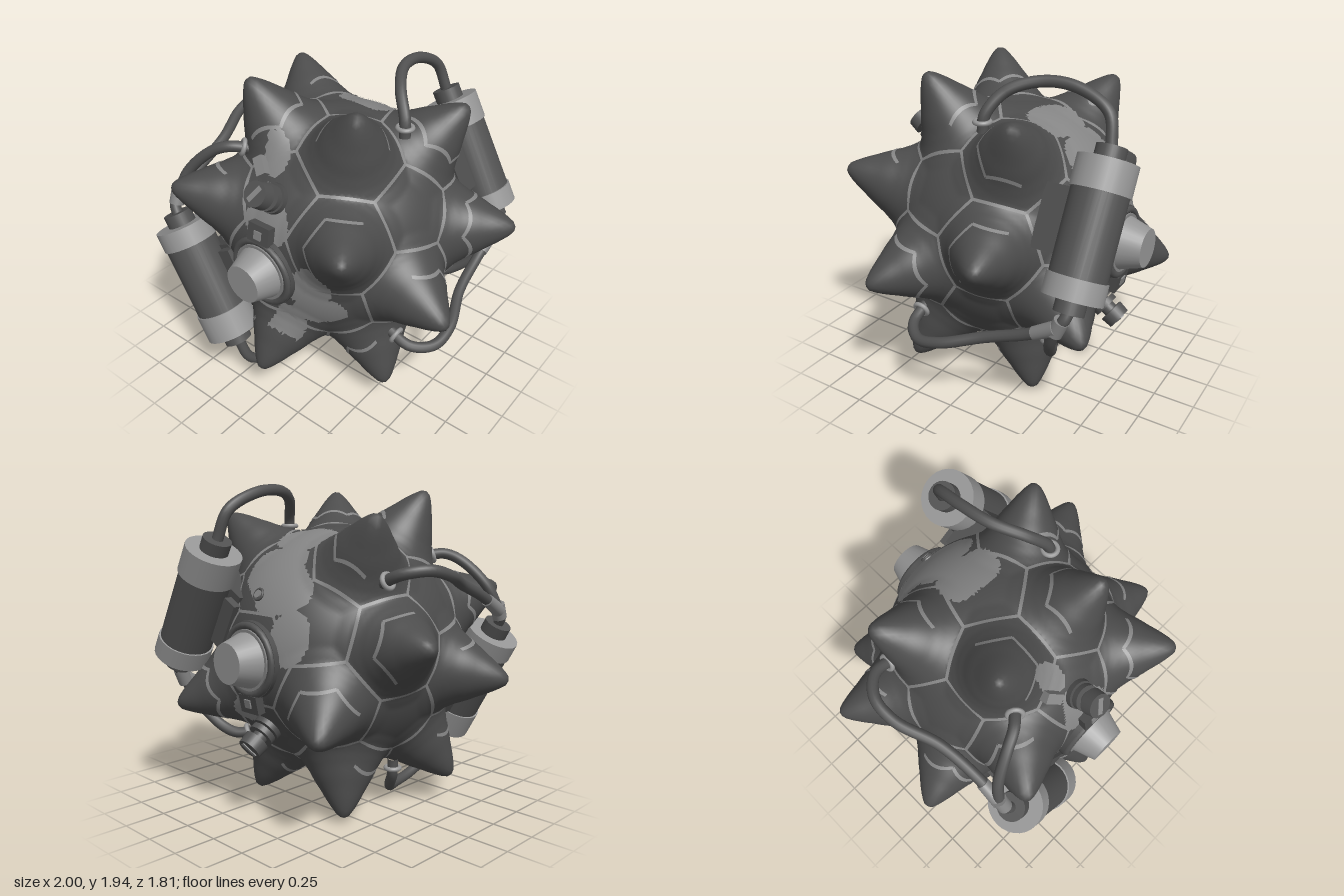
import * as THREE from 'three';
import { mergeVertices } from 'three/addons/utils/BufferGeometryUtils.js';

const V = (x, y, z) => new THREE.Vector3(x, y, z);
const CY = 0.97; // height of the ball centre; all points below are relative to it
const UP = V(0, 1, 0);

function mat(name, color, side = THREE.FrontSide) {
  const m = new THREE.MeshStandardMaterial({ color, side });
  m.name = name;
  return m;
}

export function createModel() {
  const root = new THREE.Group();
  root.name = 'spikedBall';
  const body = new THREE.Group();
  body.name = 'body';
  body.position.y = CY;
  root.add(body);

  const dark = mat('darkShell', 0x4c4c4c);
  const light = mat('wornMetal', 0x858585, THREE.DoubleSide);
  const hoseMat = mat('hoseRubber', 0x515151);
  const pale = mat('paleMetal', 0x959595);

  const add = (name, geo, m, parent = body) => {
    const mesh = new THREE.Mesh(geo, m);
    mesh.name = name;
    parent.add(mesh);
    return mesh;
  };

  // Icosahedral layout, tipped so a threefold axis faces the front
  const PHI = (1 + Math.sqrt(5)) / 2;
  const ico = [];
  for (const a of [-1, 1]) for (const b of [-PHI, PHI])
    ico.push(V(0, b, a), V(a, 0, b), V(b, a, 0));
  ico.forEach(v => v.normalize().applyAxisAngle(V(1, 0, 0), Math.atan(1 / (PHI * PHI))));
  const near = (a, b) => a !== b && a.dot(b) > 0.4;
  const triples = [];
  for (let i = 0; i < 12; i++) for (let j = i + 1; j < 12; j++) for (let k = j + 1; k < 12; k++)
    if (near(ico[i], ico[j]) && near(ico[j], ico[k]) && near(ico[i], ico[k]))
      triples.push([ico[i], ico[j], ico[k]]);
  const centreOf = t => t[0].clone().add(t[1]).add(t[2]).normalize();
  const bare = [V(0, 0, 1), V(0, 0, -1), V(0, 0.667, -0.745)]; // spots without a spike
  const spiked = triples.filter(t => !bare.some(b => b.dot(centreOf(t)) > 0.99));
  const spikes = spiked.map(centreOf);

  // Ball radius by the angle in degrees to the closest spike
  const profile = [[0, 1.068], [1.5, 1.06], [2.8, 1.035], [8, 0.92], [14, 0.815], [18, 0.768], [22, 0.74], [28, 0.725], [180, 0.725]];
  function radius(d) {
    const a = THREE.MathUtils.radToDeg(Math.acos(Math.min(1, Math.max(...spikes.map(s => s.dot(d))))));
    const i = profile.findIndex(p => p[0] >= a) || 1;
    const [a0, r0] = profile[i - 1], [a1, r1] = profile[i];
    return r0 + (r1 - r0) * (a - a0) / (a1 - a0);
  }

  // Worn areas: direction and angular size in degrees
  const worn = [
    [V(0, 0.32, 0.66), 13], [V(0.28, 0, 0.66), 11], [V(0.33, -0.22, 0.62), 10], [V(0.12, -0.33, 0.65), 9],
    [V(-0.08, 0.6, 0.45), 7], [V(0, 0.52, -0.55), 15], [V(-0.15, 0.42, -0.62), 13], [V(0, 0.7, -0.3), 12],
    [V(-0.25, 0.15, -0.65), 11], [V(0.1, -0.32, -0.66), 8],
  ].map(([d, a]) => [d.normalize(), a]);
  const isWorn = p => p.length() < 0.83 && worn.some(([d, a]) =>
    THREE.MathUtils.radToDeg(p.angleTo(d)) < a + 1.6 * Math.sin(19 * p.x + 7 * p.y) + 1.6 * Math.sin(17 * p.y - 13 * p.z));

  // Ball with drawn-out spikes
  let ball = new THREE.IcosahedronGeometry(1, 44);
  ball.deleteAttribute('uv');
  ball.deleteAttribute('normal');
  ball = mergeVertices(ball, 1e-5);
  const pos = ball.attributes.position, p = V(0, 0, 0);
  for (let i = 0; i < pos.count; i++) {
    p.fromBufferAttribute(pos, i).normalize();
    p.multiplyScalar(radius(p));
    pos.setXYZ(i, p.x, p.y, p.z);
  }
  ball.computeVertexNormals();
  const parts = [[], []], idx = ball.index.array;
  for (let i = 0; i < idx.length; i += 3) {
    const c = V(0, 0, 0);
    for (let k = 0; k < 3; k++) c.add(p.fromBufferAttribute(pos, idx[i + k]));
    parts[isWorn(c.divideScalar(3)) ? 1 : 0].push(idx[i], idx[i + 1], idx[i + 2]);
  }
  ball.setIndex([...parts[0], ...parts[1]]);
  ball.addGroup(0, parts[0].length, 0);
  ball.addGroup(parts[0].length, parts[1].length, 1);
  add('spikedShell', ball, [dark, light]);

  // Panel seams: thin strips following the shell
  const seamPos = [], seamIdx = [];
  function seam(a, b, width) {
    const side = V(0, 0, 0).crossVectors(a, b).normalize().multiplyScalar(width / 1.5);
    const n = 14, start = seamPos.length / 3;
    for (let i = 0; i <= n; i++) {
      const m = a.clone().lerp(b, i / n).normalize();
      for (const s of [1, -1]) {
        const q = m.clone().addScaledVector(side, s).normalize();
        q.multiplyScalar(radius(q) + 0.005);
        seamPos.push(q.x, q.y, q.z);
      }
      const o = start + 2 * i;
      if (i < n) seamIdx.push(o, o + 1, o + 2, o + 2, o + 1, o + 3);
    }
  }
  const third = (a, b) => a.clone().multiplyScalar(2).add(b).normalize();
  ico.forEach((a, i) => ico.forEach((b, j) => {
    if (near(a, b) && i < j) seam(third(a, b), third(b, a), 0.018);
  }));
  triples.forEach(([a, b, c]) => [[a, b, c], [b, c, a], [c, a, b]].forEach(
    ([u, v, w]) => seam(third(u, v), third(u, w), 0.018)));
  // Broken rings round the spikes
  spiked.forEach(([a, b, c], n) => {
    const ring = [[a, b], [b, a], [b, c], [c, b], [c, a], [a, c]].map(
      ([u, v]) => spikes[n].clone().lerp(third(u, v), 0.58).normalize());
    for (let k = 0; k < 3; k++) seam(ring[(n + k) % 6], ring[(n + k + 1) % 6], 0.013);
  });
  const seams = new THREE.BufferGeometry();
  seams.setAttribute('position', new THREE.Float32BufferAttribute(seamPos, 3));
  seams.setIndex(seamIdx);
  seams.computeVertexNormals();
  add('panelSeams', seams, light);

  // Fittings come in two sets, opposite through the ball centre
  for (const s of [1, -1]) {
    const set = new THREE.Group();
    set.name = s > 0 ? 'frontFittings' : 'backFittings';
    body.add(set);
    const P = (x, y, z) => V(x, y, z).multiplyScalar(s);
    const rod = (name, a, b, ra, rb, m) => {
      const d = b.clone().sub(a);
      const mesh = add(name, new THREE.CylinderGeometry(rb, ra, d.length(), 28), m, set);
      mesh.position.copy(a).addScaledVector(d, 0.5);
      mesh.quaternion.setFromUnitVectors(UP, d.normalize());
      return mesh;
    };
    const ring = (name, at, dir, r, t, m) => {
      const mesh = add(name, new THREE.TorusGeometry(r, t, 10, 28), m, set);
      mesh.position.copy(at);
      mesh.quaternion.setFromUnitVectors(V(0, 0, 1), dir.clone().normalize());
    };
    const hose = (name, pts) => add(name, new THREE.TubeGeometry(
      new THREE.CatmullRomCurve3(pts), 48, 0.033, 12), hoseMat, set);

    // Round port with tapered cap
    rod('portFlange', P(0, 0, 0.6), P(0, 0, 0.725), 0.22, 0.22, dark);
    ring('portRing', P(0, 0, 0.725), V(0, 0, 1), 0.195, 0.022, hoseMat);
    rod('portCollar', P(0, 0, 0.7), P(0, 0, 0.745), 0.175, 0.175, light);
    rod('portCap', P(0, 0, 0.74), P(0, 0, 0.88), 0.16, 0.115, pale);

    // Hasp above the port and bolt below it
    const box = (name, w, h, d, at, m, tilt = 0, roll = 0) => {
      const mesh = add(name, new THREE.BoxGeometry(w, h, d), m, set);
      mesh.position.copy(at);
      mesh.rotation.set(tilt, 0, roll);
    };
    box('haspPlate', 0.15, 0.11, 0.05, P(0, 0.25, 0.71), dark, -0.2);
    box('haspInset', 0.05, 0.05, 0.008, P(0, 0.25, 0.74), light, -0.2);
    ring('boltRing', P(0, -0.36, 0.645), P(0, -0.4, 0.85), 0.032, 0.008, hoseMat);
    rod('boltHead', P(0, -0.34, 0.61), P(0, -0.365, 0.655), 0.024, 0.024, light);

    // Valve knob and clip
    const v = t => P(0, 0.575 * t, 0.818 * t);
    rod('valveSeat', v(0.66), v(0.75), 0.095, 0.085, dark);
    rod('valveStem', v(0.72), v(0.85), 0.045, 0.045, hoseMat);
    rod('valveFlange', v(0.76), v(0.795), 0.078, 0.078, hoseMat);
    rod('valveKnob', v(0.83), v(0.9), 0.078, 0.072, hoseMat);
    box('valveSlot', 0.03, 0.1, 0.008, v(0.902), light, -0.61, -0.5);
    box('clip', 0.06, 0.11, 0.06, P(-0.15, 0.53, 0.52), light, -0.6, 0.7);

    // Gas canister with end sleeves, nozzles and saddle
    const A = V(-0.64, 0.055, 0.735), B = V(-0.28, -0.595, 0.735);
    const along = t => A.clone().lerp(B, t).multiplyScalar(s);
    rod('canisterBody', along(0.05), along(0.95), 0.158, 0.158, hoseMat);
    rod('canisterTopSleeve', along(0), along(0.16), 0.168, 0.168, pale);
    rod('canisterBottomSleeve', along(0.77), along(1), 0.168, 0.168, pale);
    rod('canisterTopNozzle', along(-0.1), along(0), 0.085, 0.085, hoseMat);
    rod('canisterBottomNozzle', along(1), along(1.1), 0.085, 0.085, hoseMat);
    box('canisterSaddle', 0.3, 0.36, 0.2, P(-0.38, -0.24, 0.55), dark, 0, 0.5);
    box('canisterStrap', 0.1, 0.3, 0.16, P(-0.27, -0.17, 0.62), hoseMat, 0, 0.5);

    // Hoses: forked pair from one nozzle, loop from the other
    const J = P(-0.71, 0.21, 0.68);
    hose('feedHose', [along(-0.08), P(-0.7, 0.16, 0.72), J]);
    hose('shortHose', [J, P(-0.66, 0.36, 0.62), P(-0.52, 0.51, 0.55), P(-0.42, 0.555, 0.5), P(-0.33, 0.54, 0.42)]);
    hose('longHose', [J, P(-0.71, 0.31, 0.5), P(-0.74, 0.4, 0.25), P(-0.83, 0.475, 0),
      P(-0.82, 0.51, -0.16), P(-0.72, 0.49, -0.27), P(-0.57, 0.43, -0.28)]);
    hose('loopHose', [along(1.08), P(-0.2, -0.82, 0.69), P(-0.18, -0.92, 0.5),
      P(-0.21, -0.935, 0.3), P(-0.31, -0.88, 0.13), P(-0.4, -0.76, 0.05), P(-0.41, -0.66, 0.04)]);
    rod('forkSleeve', P(-0.7, 0.16, 0.71), P(-0.705, 0.25, 0.67), 0.044, 0.044, light);
    rod('forkArm', J, P(-0.71, 0.285, 0.55), 0.043, 0.038, light);
    ring('shortHoseSocket', P(-0.36, 0.55, 0.45), P(-0.5, 0.25, 0.55), 0.042, 0.014, pale);
    ring('longHoseSocket', P(-0.63, 0.45, -0.28), P(-1, 0.4, 0), 0.042, 0.014, pale);
    ring('loopHoseSocket', P(-0.41, -0.72, 0.04), P(0, -1, 0), 0.042, 0.014, pale);
  }

  // Small stud on the upper back
  const stud = add('stud', new THREE.SphereGeometry(0.035, 16, 10), light);
  stud.position.copy(V(-0.32, 0.55, -0.39).normalize().multiplyScalar(0.75));
  return root;
}
